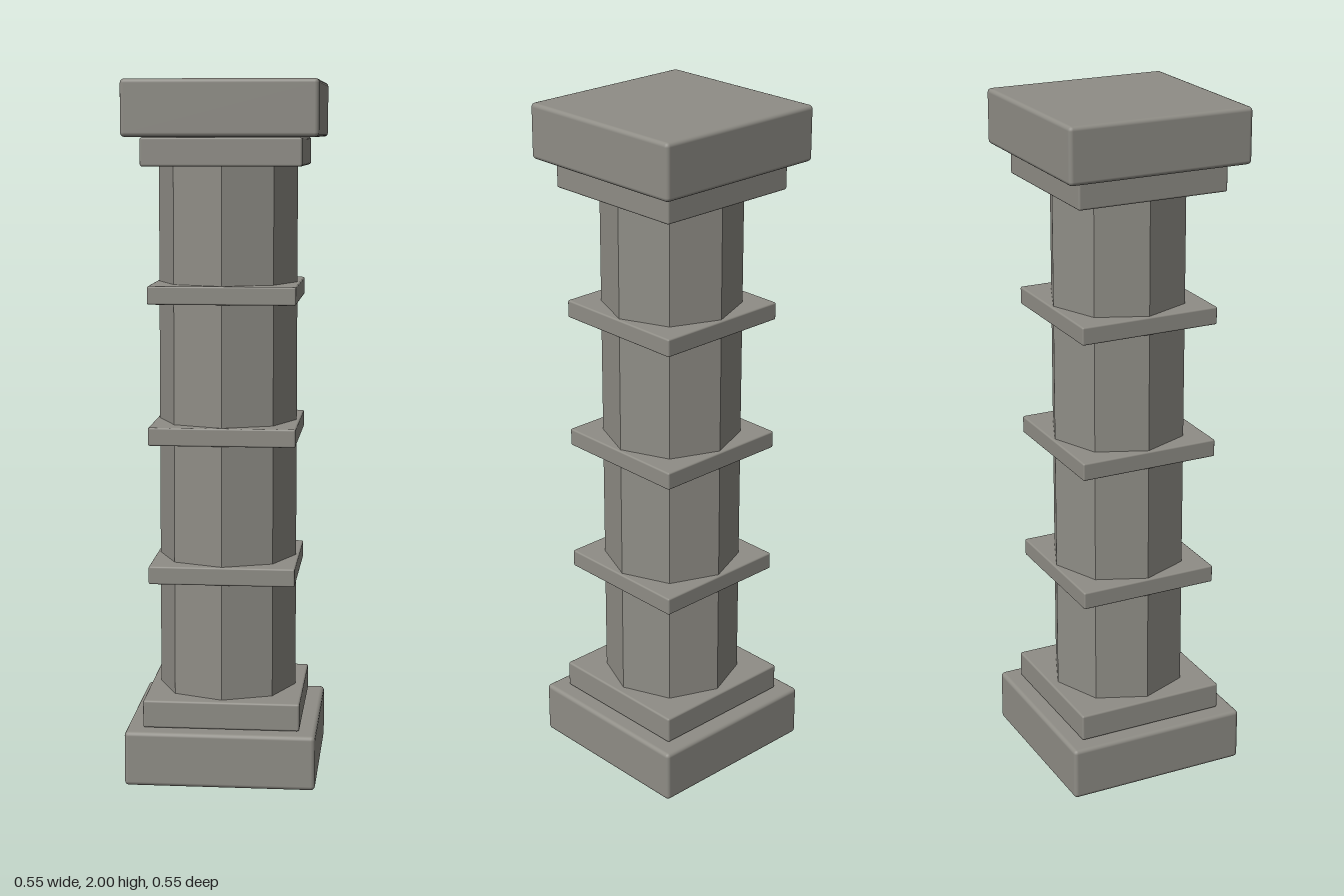
import * as THREE from 'three';
import { RoundedBoxGeometry } from 'three/addons/geometries/RoundedBoxGeometry.js';

export function createModel() {
  const group = new THREE.Group();
  group.name = 'column';
  const stone = new THREE.MeshStandardMaterial({ color: 0x8f8d86 });
  stone.name = 'greyStone';
  const shaftStone = stone.clone();
  shaftStone.flatShading = true;

  // Square slab with softened edges, centred at height y
  function slab(name, width, height, y, bevel) {
    const mesh = new THREE.Mesh(new RoundedBoxGeometry(width, height, width, 2, bevel), stone);
    mesh.name = name;
    mesh.position.y = y;
    group.add(mesh);
  }

  // Octagonal shaft
  const shaft = new THREE.Mesh(new THREE.CylinderGeometry(0.2, 0.2, 1.6, 8), shaftStone);
  shaft.name = 'shaft';
  shaft.position.y = 1;
  group.add(shaft);

  // Stepped base and mirrored capital
  slab('basePlinth', 0.546, 0.158, 0.079, 0.012);
  slab('baseStep', 0.45, 0.08, 0.199, 0.006);
  slab('capitalStep', 0.45, 0.08, 1.801, 0.006);
  slab('capitalBlock', 0.546, 0.158, 1.921, 0.012);

  // Square bands around the shaft
  [0.6, 1, 1.4].forEach((y, i) => slab('band' + (i + 1), 0.418, 0.052, y + 0.003, 0.005));

  return group;
}
